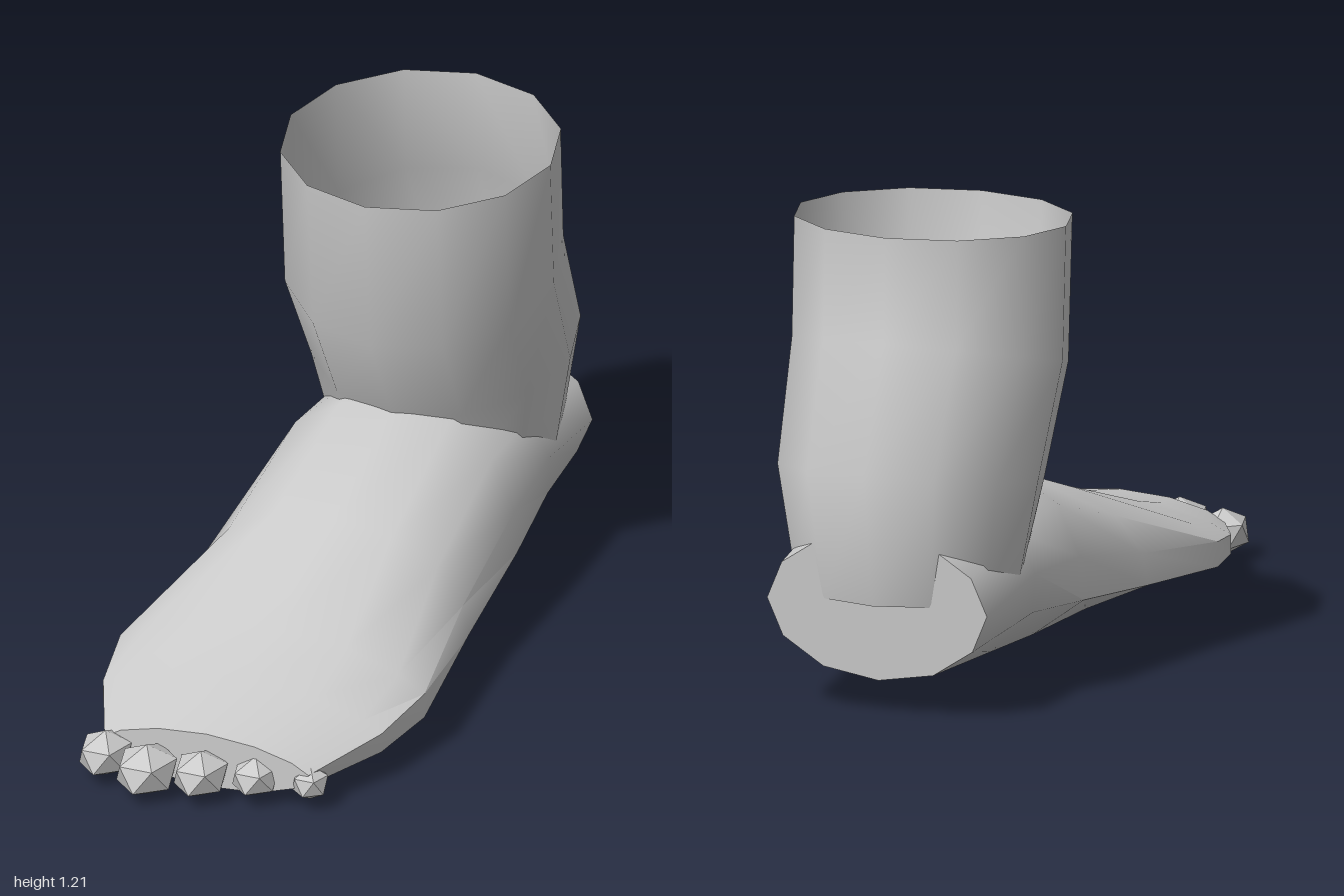
import * as THREE from 'three';
import { toCreasedNormals } from 'three/addons/utils/BufferGeometryUtils.js';

// Skin a list of closed rings (arrays of [x, y, z]); optionally close both ends.
function loft(rings, capped) {
  const n = rings[0].length;
  const points = rings.flat();
  const index = [];
  for (let i = 0; i < rings.length - 1; i++) {
    for (let j = 0; j < n; j++) {
      const k = (j + 1) % n;
      const a = i * n + j, b = a + n, c = i * n + k, d = c + n;
      index.push(a, b, c, c, b, d);
    }
  }
  if (capped) {
    const last = (rings.length - 1) * n;
    for (let j = 1; j < n - 1; j++) {
      index.push(0, j, j + 1);
      index.push(last, last + j + 1, last + j);
    }
  }
  const geo = new THREE.BufferGeometry();
  geo.setAttribute('position', new THREE.Float32BufferAttribute(points.flat(), 3));
  geo.setIndex(index);
  geo.computeVertexNormals();
  return geo;
}

// Tilted 12-sided ring through a front and a back point, each [z, y].
function tiltedRing([zf, yf], [zb, yb], rx) {
  return Array.from({ length: 12 }, (_, i) => {
    const a = (i / 12) * Math.PI * 2, c = Math.cos(a);
    return [Math.sin(a) * rx, (yf + yb) / 2 + c * (yf - yb) / 2, (zf + zb) / 2 + c * (zf - zb) / 2];
  });
}

// Mirror a half section (top to bottom, [x, y]) into a closed ring at depth z.
function mirroredRing(z, half, lean = 0) {
  const left = half.map(([x, y]) => [x, y, z - lean * (y - 0.28)]);
  const right = left.slice(1, -1).reverse().map(([x, y, d]) => [-x, y, d]);
  return [...left, ...right];
}

export function createModel() {
  const model = new THREE.Group();
  model.name = 'foot';
  const skin = new THREE.MeshStandardMaterial({ color: 0xcccccc, side: THREE.DoubleSide });
  skin.name = 'greySkin';

  const add = (name, geo) => {
    const mesh = new THREE.Mesh(geo, skin);
    mesh.name = name;
    model.add(mesh);
    return mesh;
  };

  // Ankle: open tube that bulges back to the heel
  add('ankle', loft([
    tiltedRing([-0.15, 1.165], [-0.85, 1.21], 0.35),
    tiltedRing([-0.185, 0.76], [-0.86, 0.94], 0.35),
    tiltedRing([-0.32, 0.51], [-1.0, 0.635], 0.335),
    tiltedRing([-0.41, 0.29], [-0.94, 0.29], 0.285),
  ], false));

  // Foot body: sections from the heel to the toe end
  const sections = [
    mirroredRing(-0.905, [[0, 0.47], [0.145, 0.445], [0.25, 0.375], [0.29, 0.28], [0.25, 0.185], [0.145, 0.115], [0, 0.09]], 0.05),
    mirroredRing(-0.6, [[0, 0.53], [0.15, 0.5], [0.255, 0.42], [0.305, 0.32], [0.3, 0.22], [0.19, 0.11], [0, 0.08]]),
    mirroredRing(-0.33, [[0, 0.52], [0.145, 0.505], [0.265, 0.43], [0.325, 0.3], [0.335, 0.19], [0.2, 0.09], [0, 0.07]]),
    mirroredRing(0.05, [[0, 0.39], [0.16, 0.375], [0.28, 0.31], [0.35, 0.22], [0.365, 0.14], [0.2, 0.065], [0, 0.05]]),
    mirroredRing(0.43, [[0, 0.265], [0.2, 0.25], [0.34, 0.205], [0.41, 0.165], [0.41, 0.1], [0.23, 0.045], [0, 0.035]]),
    mirroredRing(0.62, [[0, 0.215], [0.19, 0.2], [0.32, 0.16], [0.375, 0.135], [0.375, 0.085], [0.2, 0.035], [0, 0.027]]),
    mirroredRing(0.845, [[0, 0.165], [0.13, 0.155], [0.23, 0.13], [0.275, 0.105], [0.265, 0.07], [0.14, 0.03], [0, 0.02]]),
  ];
  add('footBody', toCreasedNormals(loft(sections, true), 0.95));

  // Toes: faceted balls standing on a point; [x, z, half width, half height, half depth]
  const toes = [
    [-0.262, 0.868, 0.06, 0.061, 0.078],
    [-0.132, 0.912, 0.07, 0.068, 0.088],
    [0, 0.88, 0.062, 0.061, 0.08],
    [0.13, 0.838, 0.054, 0.053, 0.068],
    [0.268, 0.818, 0.042, 0.046, 0.048],
  ];
  toes.forEach(([x, z, w, h, d], i) => {
    const geo = new THREE.IcosahedronGeometry(1, 0);
    geo.rotateZ(-Math.atan(2 / (1 + Math.sqrt(5))));
    geo.rotateY(Math.PI / 2);
    geo.scale(w / 0.85, h, d / 0.894);
    add('toe' + (i + 1), geo).position.set(x, 0.073, z);
  });

  return model;
}
